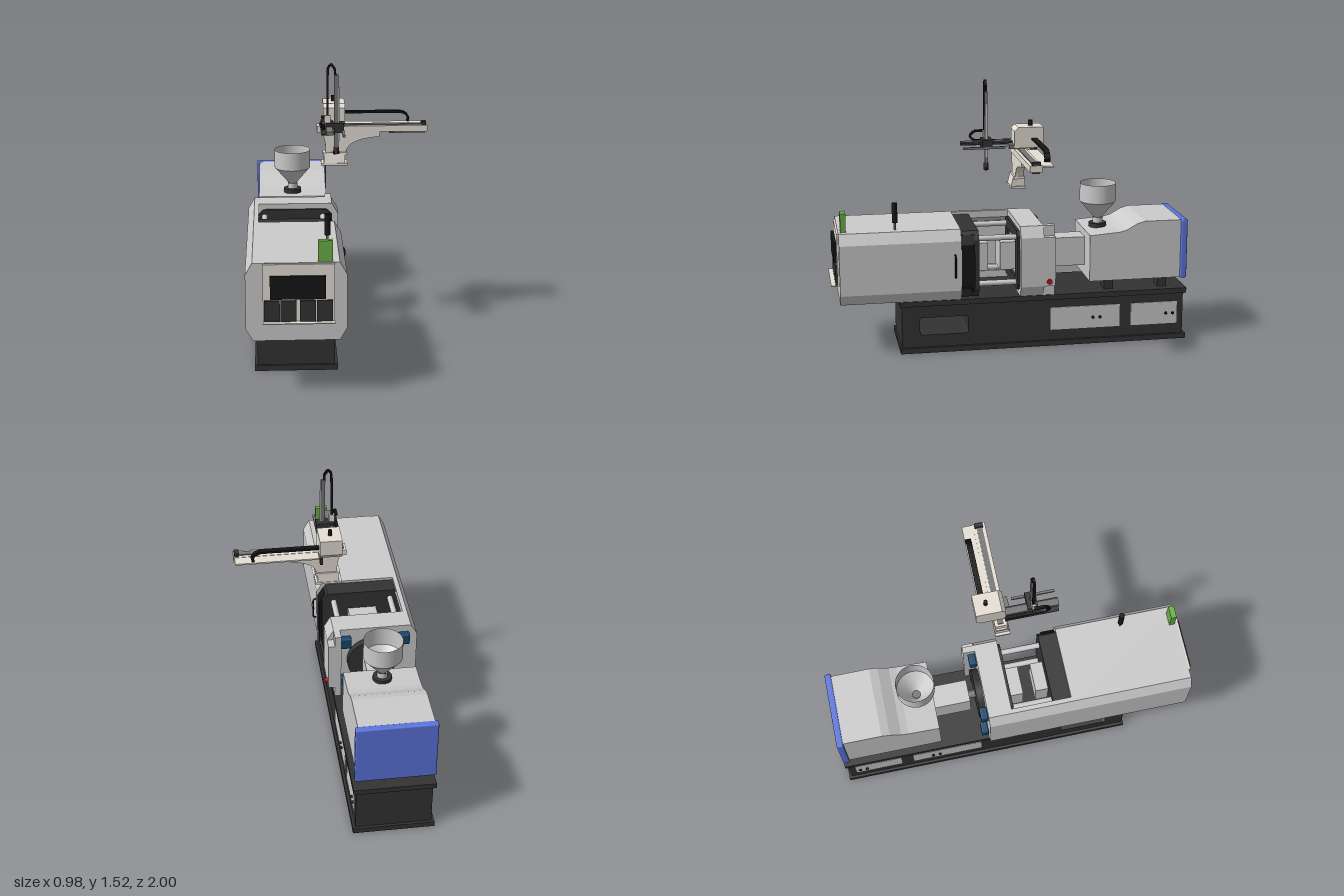
import * as THREE from 'three';
import { RoundedBoxGeometry } from 'three/addons/geometries/RoundedBoxGeometry.js';

const mat = (color, extra = {}) => new THREE.MeshStandardMaterial({ color, ...extra });
const GREY = mat(0xcccccc), DARK = mat(0x333333), BLACK = mat(0x161616), BEIGE = mat(0xe6dfd5);
const BLUE = mat(0x5a74dd), NAVY = mat(0x14466e), GREEN = mat(0x6cb04a), RED = mat(0xcc1111);
const STEEL = mat(0x777777), OPEN = mat(0xcccccc, { side: THREE.DoubleSide });
const CX = -0.24; // centre line of the machine

export function createModel() {
  const root = new THREE.Group();
  let group = root;
  const section = (name) => { group = new THREE.Group(); group.name = name; root.add(group); };
  const add = (name, geo, m) => {
    const mesh = new THREE.Mesh(geo, m);
    mesh.name = name;
    group.add(mesh);
    return mesh;
  };
  // box given by its limits
  const box = (name, m, x0, x1, y0, y1, z0, z1) =>
    add(name, new THREE.BoxGeometry(x1 - x0, y1 - y0, z1 - z0)
      .translate((x0 + x1) / 2, (y0 + y1) / 2, (z0 + z1) / 2), m);
  // cylinder along an axis
  const rod = (name, m, r, len, axis, x, y, z, n = 24) => {
    const g = new THREE.CylinderGeometry(r, r, len, n);
    if (axis === 'x') g.rotateZ(Math.PI / 2);
    if (axis === 'z') g.rotateX(Math.PI / 2);
    return add(name, g.translate(x, y, z), m);
  };
  const shapeOf = (pts) => new THREE.Shape(pts.map((p) => new THREE.Vector2(...p)));
  // x-y outline extruded along z
  const prismZ = (name, m, shape, z0, z1) =>
    add(name, new THREE.ExtrudeGeometry(shape, { depth: z1 - z0, bevelEnabled: false, curveSegments: 12 })
      .translate(0, 0, z0), m);
  // z-y outline extruded along x
  const prismX = (name, m, shape, x0, x1) =>
    add(name, new THREE.ExtrudeGeometry(shape, { depth: x1 - x0, bevelEnabled: false, curveSegments: 8 })
      .rotateY(-Math.PI / 2).translate(x1, 0, 0), m);
  const octagon = (x0, x1, y0, y1, cx, cy) => shapeOf([
    [x0 + cx, y0], [x1 - cx, y0], [x1, y0 + cy], [x1, y1 - cy],
    [x1 - cx, y1], [x0 + cx, y1], [x0, y1 - cy], [x0, y0 + cy]]);
  const rectHole = (x0, x1, y0, y1) => new THREE.Path(
    [[x0, y0], [x0, y1], [x1, y1], [x1, y0]].map((p) => new THREE.Vector2(...p)));

  // Base with a through opening, flanges and cabinet doors
  section('base');
  const body = shapeOf([[-0.985, 0.03], [0.62, 0.03], [0.62, 0.27], [-0.985, 0.27]]);
  const slot = new THREE.Path();
  const c = 0.015;
  slot.moveTo(0.25 + c, 0.1).lineTo(0.52 - c, 0.1).quadraticCurveTo(0.52, 0.1, 0.52, 0.1 + c)
    .lineTo(0.52, 0.2 - c).quadraticCurveTo(0.52, 0.2, 0.52 - c, 0.2)
    .lineTo(0.25 + c, 0.2).quadraticCurveTo(0.25, 0.2, 0.25, 0.2 - c)
    .lineTo(0.25, 0.1 + c).quadraticCurveTo(0.25, 0.1, 0.25 + c, 0.1);
  body.holes.push(slot);
  prismX('baseBody', DARK, body, -0.44, -0.04);
  for (const y of [0, 0.27]) box('baseFlange', DARK, -0.455, -0.025, y, y + 0.03, -1, 0.63);
  for (const s of [-1, 1]) {
    const x = CX + s * 0.201;
    for (const [z0, z1, k] of [[-0.615, -0.215, -0.48], [-0.95, -0.68, -0.905]]) {
      box('cabinetDoor', GREY, x - 0.003, x + 0.003, 0.09, 0.22, z0, z1);
      for (const d of [-0.02, 0.02]) rod('doorKnob', BLACK, 0.008, 0.014, 'x', x + s * 0.005, 0.152, k + d, 12);
    }
  }

  // Clamp housing, open on its right and top next to the moulds
  section('clampUnit');
  const full = () => octagon(-0.49, 0.005, 0.3, 0.7, 0.035, 0.06);
  prismZ('clampHousing', GREY, full(), 0.29, 0.955);
  prismZ('farGuard', GREY, shapeOf([[-0.455, 0.3], [-0.43, 0.3], [-0.43, 0.34], [-0.47, 0.37], [-0.47, 0.63],
    [-0.43, 0.66], [-0.43, 0.7], [-0.455, 0.7], [-0.49, 0.64], [-0.49, 0.36]]), -0.04, 0.29);
  prismZ('movingPlaten', DARK, octagon(-0.46, -0.015, 0.31, 0.685, 0.03, 0.05), 0.19, 0.29);
  prismZ('platenBand', BLACK, octagon(-0.44, 0.0, 0.335, 0.665, 0.03, 0.05), 0.215, 0.289);
  prismZ('fixedPlaten', GREY, full(), -0.17, -0.04);
  const frame = octagon(-0.435, -0.03, 0.33, 0.67, 0.03, 0.03);
  frame.holes.push(rectHole(-0.37, -0.1, 0.39, 0.61));
  prismZ('platenFace', DARK, frame, -0.04, -0.025);
  box('mouldHalf', GREY, -0.32, -0.16, 0.42, 0.58, -0.04, 0.05);
  box('mouldHalf', GREY, -0.32, -0.16, 0.42, 0.58, 0.12, 0.19);
  for (const x of [-0.4, -0.08]) for (const y of [0.37, 0.63]) {
    rod('tieBar', GREY, 0.016, 0.25, 'z', x, y, 0.08);
    add('tieBarNut', new RoundedBoxGeometry(0.07, 0.065, 0.04, 2, 0.008).translate(x - 0.01, y, -0.19), NAVY);
  }
  rod('nozzleRing', DARK, 0.135, 0.04, 'z', CX, 0.5, -0.188, 40);
  box('sideCover', GREY, -0.065, 0.005, 0.36, 0.64, -0.235, -0.17);
  prismX('sideCoverTop', GREY, shapeOf([[-0.235, 0.64], [-0.17, 0.64], [-0.17, 0.7], [-0.235, 0.7]]), -0.065, -0.03);
  prismX('sideCoverFoot', GREY, shapeOf([[-0.235, 0.3], [-0.17, 0.3], [-0.17, 0.36], [-0.235, 0.36]]), -0.065, -0.03);
  rod('stopButton', RED, 0.014, 0.018, 'x', 0.011, 0.387, -0.2);
  add('doorHandle', new THREE.TubeGeometry(new THREE.CatmullRomCurve3([
    [0.0, 0.435], [0.018, 0.44], [0.02, 0.5], [0.018, 0.56], [0.0, 0.565],
  ].map(([x, y]) => new THREE.Vector3(x, y, 0.325))), 20, 0.005, 8), BLACK);

  // Control panel, signal box and lamp
  section('controls');
  box('panelPlate', BEIGE, -0.405, -0.055, 0.4, 0.695, 0.95, 0.965);
  box('panelShelf', BEIGE, -0.405, -0.055, 0.4, 0.405, 0.96, 1);
  box('screen', BLACK, -0.37, -0.1, 0.522, 0.638, 0.96, 0.982);
  for (const x of [-0.4, -0.32, -0.225, -0.143]) box('keypad', DARK, x, x + 0.077, 0.405, 0.512, 0.96, 0.975);
  box('signalBox', GREEN, -0.135, -0.065, 0.7, 0.805, 0.912, 0.942);
  rod('lampPole', STEEL, 0.006, 0.05, 'y', -0.08, 0.72, 0.645, 12);
  rod('lamp', BLACK, 0.015, 0.11, 'y', -0.08, 0.795, 0.645);

  // Injection unit with barrel, hood, blue end cap and hopper
  section('injectionUnit');
  box('barrelCover', GREY, -0.305, -0.18, 0.42, 0.585, -0.45, -0.245);
  rod('nozzle', STEEL, 0.022, 0.06, 'z', CX, 0.5, -0.225);
  prismX('hood', GREY, shapeOf([[-0.97, 0.36], [-0.44, 0.36], [-0.44, 0.625], [-0.61, 0.638],
    [-0.65, 0.648], [-0.71, 0.682], [-0.755, 0.695], [-0.97, 0.695]]), -0.435, -0.045);
  add('endCap', new RoundedBoxGeometry(0.42, 0.34, 0.036, 2, 0.008).translate(CX, 0.528, -0.982), BLUE);
  for (const z of [-0.558, -0.87]) for (const x of [-0.36, -0.12])
    box('hoodFoot', DARK, x - 0.04, x + 0.04, 0.3, 0.361, z - 0.026, z + 0.026);
  const HZ = -0.527;
  rod('hopperFlange', DARK, 0.05, 0.024, 'y', CX, 0.642, HZ, 32);
  for (const [name, pts] of [
    ['hopperNeck', [[0.028, 0.65], [0.028, 0.685]]],
    ['hopperCone', [[0.022, 0.685], [0.103, 0.78]]],
    ['hopperDrum', [[0.103, 0.78], [0.103, 0.885]]],
  ]) add(name, new THREE.LatheGeometry(pts.map((p) => new THREE.Vector2(...p)), 40).translate(CX, 0, HZ), OPEN);
  rod('hopperOutlet', STEEL, 0.022, 0.01, 'y', CX, 0.685, HZ);

  // Pick-up robot: bracket, cross beam and carriage
  section('robot');
  prismX('bracketFoot', BEIGE, shapeOf([[-0.055, 0.935], [0.025, 0.935], [0.01, 0.995], [-0.05, 0.995]]), -0.075, 0.04);
  box('bracketFootRim', BEIGE, -0.09, 0.052, 0.932, 0.944, -0.057, 0.025);
  box('bracketCollar', BEIGE, -0.08, 0.052, 0.985, 1.0, -0.052, 0.01);
  const arm = new THREE.Shape();
  arm.moveTo(-0.065, 0.995).lineTo(0.045, 0.995).bezierCurveTo(0.05, 1.06, 0.13, 1.075, 0.225, 1.085)
    .lineTo(0.23, 1.112).lineTo(-0.085, 1.112).quadraticCurveTo(-0.062, 1.06, -0.065, 0.995);
  prismZ('bracketArm', BEIGE, arm, -0.045, 0.0);
  box('crossBeam', BEIGE, -0.112, 0.485, 1.112, 1.145, -0.062, 0.003);
  box('beamRail', STEEL, -0.1, 0.48, 1.145, 1.151, -0.045, -0.015);
  box('chainTray', BEIGE, 0.04, 0.48, 1.135, 1.143, -0.122, -0.06);
  box('lowerPlate', STEEL, 0.28, 0.475, 1.102, 1.108, -0.05, -0.01);
  box('beamStop', DARK, 0.455, 0.48, 1.145, 1.162, -0.055, -0.01);
  prismX('carriageHead', BEIGE, shapeOf([[-0.155, 1.18], [-0.135, 1.155], [0.003, 1.155], [0.003, 1.245],
    [-0.018, 1.265], [-0.155, 1.265]]), -0.078, 0.04);
  rod('carriageKnob', BLACK, 0.011, 0.03, 'y', -0.02, 1.28, -0.093);
  box('carriagePlate', STEEL, -0.07, 0.035, 1.148, 1.17, -0.06, 0.03);
  box('chainEnd', DARK, 0.02, 0.036, 1.1, 1.2, -0.12, -0.088);

  // cable chain: links strung along a path lying in the x-y or z-y plane
  const chain = (name, pts, width) => {
    const curve = new THREE.CatmullRomCurve3(pts.map((p) => new THREE.Vector3(...p)), false, 'catmullrom', 0.3);
    const n = Math.round(curve.getLength() / 0.014);
    const across = Math.abs(pts[0][0] - pts[pts.length - 1][0]) < 1e-6;
    const links = new THREE.Group();
    links.name = name;
    for (let i = 0; i < n; i++) {
      const t = (i + 0.5) / n;
      const d = curve.getTangentAt(t);
      const link = new THREE.Mesh(across
        ? new THREE.BoxGeometry(width, 0.012, 0.0135) : new THREE.BoxGeometry(0.0135, 0.012, width), BLACK);
      link.name = 'chainLink';
      link.position.copy(curve.getPointAt(t));
      if (across) link.rotation.x = -Math.atan2(d.y, d.z);
      else link.rotation.z = Math.atan2(d.y, d.x);
      links.add(link);
    }
    group.add(links);
  };
  chain('beamChain', [[0.03, 1.2, -0.105], [0.2, 1.2, -0.105], [0.34, 1.2, -0.105], [0.375, 1.188, -0.105],
    [0.39, 1.165, -0.105], [0.385, 1.147, -0.105]], 0.03);

  // forward arm and its chain
  box('forwardArm', STEEL, -0.07, -0.035, 1.162, 1.182, -0.06, 0.285);
  box('forwardRail', DARK, -0.035, -0.025, 1.165, 1.178, 0.0, 0.285);
  box('armChainTray', DARK, -0.097, -0.07, 1.162, 1.168, -0.005, 0.28);
  chain('armChain', [[-0.085, 1.176, 0.0], [-0.085, 1.176, 0.1], [-0.085, 1.18, 0.2], [-0.085, 1.205, 0.228],
    [-0.085, 1.23, 0.205], [-0.085, 1.233, 0.15]], 0.016);

  // vertical arm with gripper and chain loop
  box('armSlide', DARK, -0.07, 0.025, 1.15, 1.2, 0.12, 0.175);
  box('verticalArm', STEEL, -0.025, -0.003, 1.04, 1.455, 0.142, 0.158);
  box('verticalRail', GREY, -0.005, 0.004, 1.1, 1.39, 0.144, 0.156);
  box('sideArm', STEEL, 0.015, 0.028, 1.15, 1.162, 0.05, 0.28);
  rod('gripperWrist', DARK, 0.014, 0.035, 'y', -0.014, 1.05, 0.15, 16);
  box('gripper', BLACK, -0.03, 0.002, 1.03, 1.045, 0.14, 0.16);
  chain('verticalChain', [[-0.06, 1.23, 0.15], [-0.06, 1.35, 0.15], [-0.058, 1.485, 0.15], [-0.04, 1.51, 0.15],
    [-0.022, 1.485, 0.15], [-0.019, 1.44, 0.15]], 0.014);
  box('chainBracket', BEIGE, -0.075, -0.045, 1.195, 1.24, 0.14, 0.16);
  return root;
}
